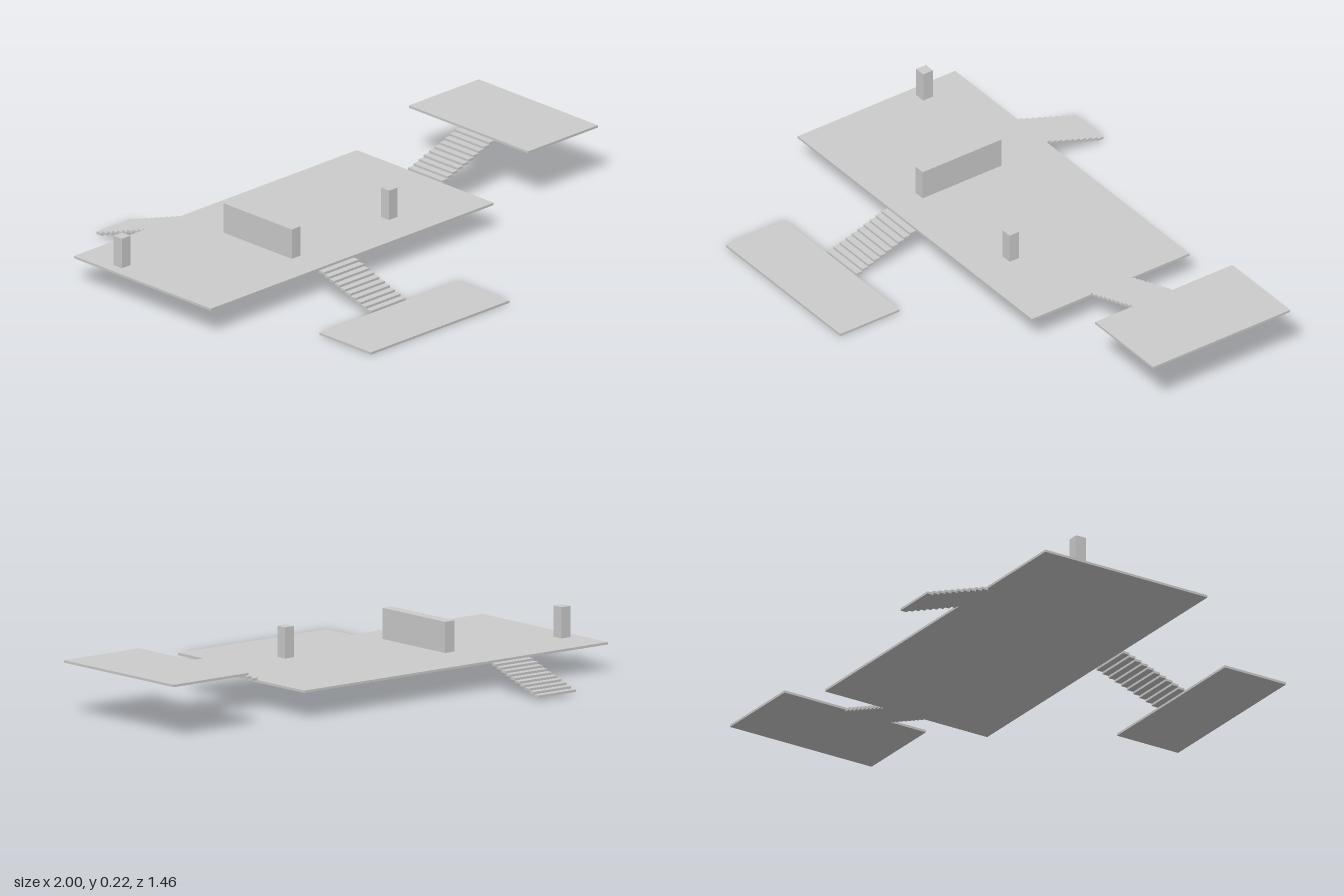
import * as THREE from 'three';

const T = 0.0087; // slab thickness and stair rise
const STEPS = 10;
const MAIN_Y = T * 11; // underside of the main deck
const UPPER_Y = T * 22; // underside of the raised deck

export function createModel() {
  const model = new THREE.Group();
  const material = new THREE.MeshStandardMaterial({ color: 0xcccccc, flatShading: true });

  // Box given by its bounds on each axis
  function block(parent, name, x0, x1, y0, y1, z0, z1) {
    const mesh = new THREE.Mesh(new THREE.BoxGeometry(x1 - x0, y1 - y0, z1 - z0), material);
    mesh.position.set((x0 + x1) / 2, (y0 + y1) / 2, (z0 + z1) / 2);
    mesh.name = name;
    parent.add(mesh);
  }

  // Flight of thin treads along an axis, climbing from 'low' to 'high'; a and b bound its width
  function stairs(name, axis, low, high, a, b, baseY) {
    const flight = new THREE.Group();
    flight.name = name;
    const run = (high - low) / STEPS;
    for (let i = 0; i < STEPS; i++) {
      const p = low + run * i;
      const s0 = Math.min(p, p + run), s1 = Math.max(p, p + run);
      const y = baseY + T * i;
      if (axis === 'x') block(flight, 'tread', s0, s1, y, y + T, a, b);
      else block(flight, 'tread', a, b, y, y + T, s0, s1);
    }
    model.add(flight);
  }

  // Decks at three levels
  block(model, 'mainDeck', -1, 0.398, MAIN_Y, MAIN_Y + T, -0.474, 0.212);
  block(model, 'lowerDeck', -0.72, -0.036, 0, T, 0.472, 0.73);
  block(model, 'upperDeck', 0.655, 1, UPPER_Y, UPPER_Y + T, -0.474, 0.124);

  // Stairs between the decks, and one flight down at the back
  stairs('frontStairs', 'z', 0.472, 0.212, -0.465, -0.294, T);
  stairs('backStairs', 'z', -0.73, -0.474, -0.636, -0.465, T);
  stairs('sideStairs', 'x', 0.398, 0.655, -0.217, -0.046, MAIN_Y + T);

  // Two pillars and a wall on the main deck
  const floor = MAIN_Y + T, top = 0.216;
  block(model, 'backPillar', -0.96, -0.918, floor, top, -0.317, -0.275);
  block(model, 'frontPillar', 0.024, 0.066, floor, top, 0.025, 0.067);
  block(model, 'wall', -0.473, -0.431, floor, top, -0.26, 0.083);

  return model;
}
